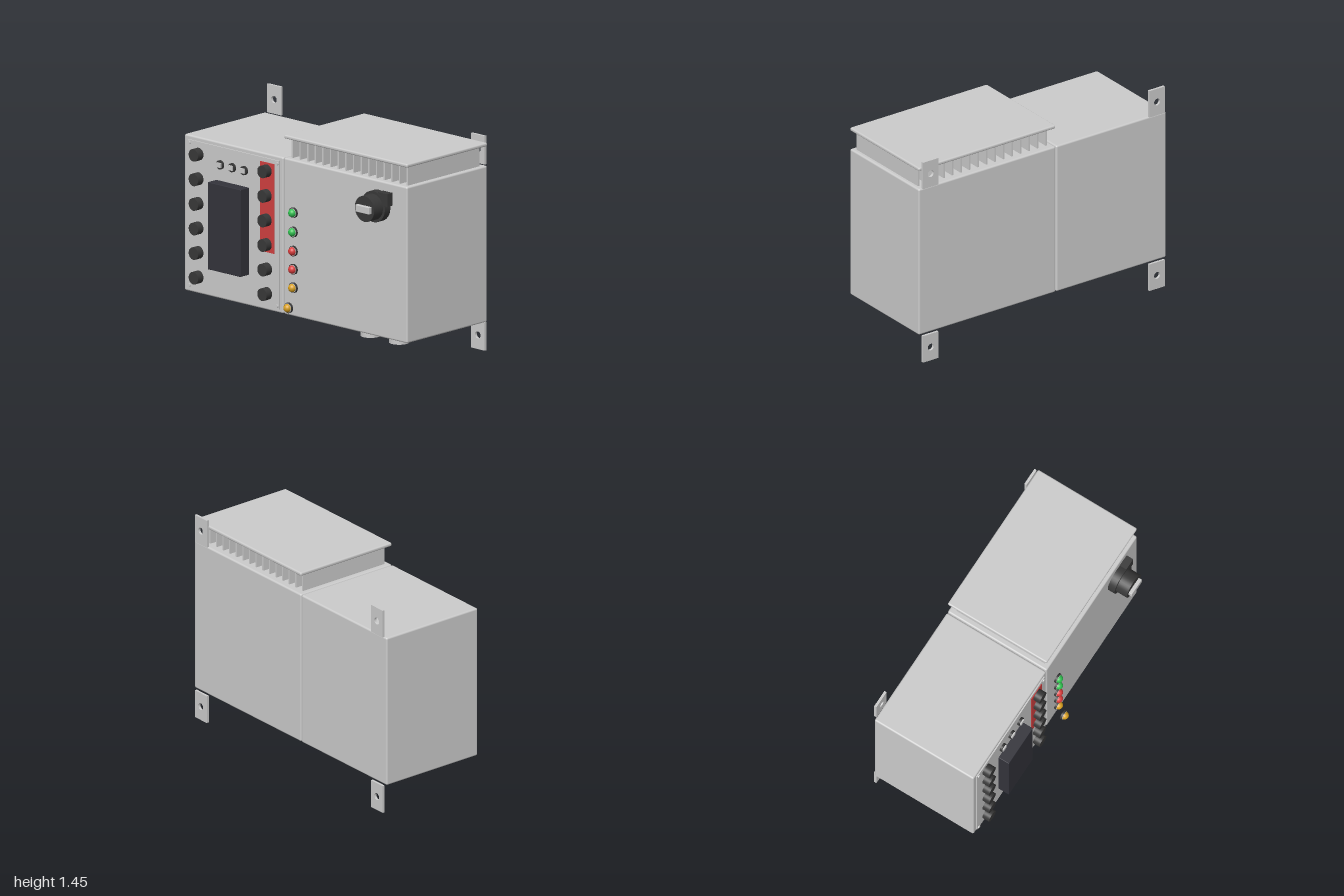
import * as THREE from 'three';
import { RoundedBoxGeometry } from 'three/addons/geometries/RoundedBoxGeometry.js';

const mat = (color) => new THREE.MeshStandardMaterial({ color });
const GREY = mat(0xcccccc), DARK = mat(0x383838), SCREEN = mat(0x33333b);
const RED = mat(0xd04040), GREEN = mat(0x30c050), LAMP_RED = mat(0xd83c3c), AMBER = mat(0xd8a020), WHITE = mat(0xeeeeee);

export function createModel() {
  const group = new THREE.Group();

  const add = (name, geometry, material) => {
    const mesh = new THREE.Mesh(geometry, material);
    mesh.name = name;
    group.add(mesh);
    return mesh;
  };
  // Box given by its limits, with an optional edge radius
  const box = (name, [x0, x1], [y0, y1], [z0, z1], material = GREY, radius = 0) => {
    const size = [x1 - x0, y1 - y0, z1 - z0];
    const g = radius ? new RoundedBoxGeometry(...size, 3, radius) : new THREE.BoxGeometry(...size);
    g.translate((x0 + x1) / 2, (y0 + y1) / 2, (z0 + z1) / 2);
    return add(name, g, material);
  };
  // Cylinder along z between two depths
  const disc = (name, x, y, z0, z1, r, material = DARK, rFront = r) => {
    const g = new THREE.CylinderGeometry(rFront, r, z1 - z0, 40);
    g.rotateX(Math.PI / 2).translate(x, y, (z0 + z1) / 2);
    return add(name, g, material);
  };

  // Two cabinets side by side
  const depth = [-0.455, 0.311];
  box('controlCabinet', [-1, -0.112], [0.2, 1.256], depth, GREY, 0.012);
  box('powerCabinet', [-0.107, 1], [0.2, 1.256], depth, GREY, 0.012);

  // Heat sink: fins under a cover plate
  for (let i = 0; i < 16; i++) {
    const x = -0.065 + i * 0.0688;
    box('heatSinkFin', [x - 0.006, x + 0.006], [1.25, 1.39], [-0.408, 0.275]);
  }
  box('heatSinkCover', [-0.107, 1], [1.386, 1.411], depth, GREY, 0.01);

  // Wall brackets with a bolt hole
  const tab = new THREE.Shape([[-0.062, -0.096], [0.062, -0.096], [0.062, 0.096], [-0.062, 0.096]]
    .map(([x, y]) => new THREE.Vector2(x, y)));
  tab.holes.push(new THREE.Path().absarc(0, 0, 0.024, 0, Math.PI * 2, true));
  const tabGeometry = new THREE.ExtrudeGeometry(tab, { depth: 0.017, bevelEnabled: false, curveSegments: 20 });
  for (const x of [-0.915, 0.915]) {
    for (const y of [0.097, 1.355]) add('wallBracket', tabGeometry, GREY).position.set(x, y, -0.47);
  }

  // Control panel plate with corner screws
  box('controlPanel', [-0.967, -0.14], [0.225, 1.228], [0.305, 0.32]);
  for (const x of [-0.948, -0.159]) {
    for (const y of [0.245, 1.208]) disc('panelScrew', x, y, 0.315, 0.327, 0.012, GREY);
  }
  box('redStrip', [-0.31, -0.183], [0.594, 1.2], [0.315, 0.324], RED);

  // Two columns of push knobs
  for (const x of [-0.862, -0.246]) {
    for (let i = 0; i < 6; i++) disc('knob', x, 1.146 - i * 0.166, 0.315, 0.372, 0.042);
  }

  // Display block
  box('display', [-0.707, -0.413], [0.41, 1.0], [0.315, 0.4], SCREEN, 0.004);

  // Small selector switches above the display
  for (const x of [-0.664, -0.557, -0.45]) {
    disc('switchBezel', x, 1.11, 0.315, 0.335, 0.03);
    box('switchCap', [x - 0.018, x + 0.018], [1.094, 1.126], [0.33, 0.345], WHITE);
  }

  // Column of indicator lamps; the lowest one stands further out
  const lamps = [[0.907, GREEN], [0.777, GREEN], [0.648, LAMP_RED], [0.525, LAMP_RED], [0.4, AMBER], [0.273, AMBER]];
  const dome = new THREE.SphereGeometry(0.028, 24, 12, 0, Math.PI * 2, 0, Math.PI / 2).rotateX(Math.PI / 2);
  lamps.forEach(([y, material], i) => {
    const z = i === 5 ? 0.37 : 0.325;
    disc('lampRing', -0.003, y, z, z + 0.014, 0.035, DARK);
    disc('lampCollar', -0.003, y, z + 0.01, z + 0.016, 0.031, GREY);
    add('lampDome', dome, material).position.set(-0.003, y, z + 0.015);
  });

  // Main rotary switch
  disc('rotaryBase', 0.745, 1.09, 0.305, 0.363, 0.105);
  box('rotaryBackTab', [0.785, 0.87], [1.11, 1.196], [0.305, 0.362], DARK);
  disc('rotaryKnob', 0.745, 1.09, 0.36, 0.446, 0.087);
  box('rotaryHandle', [0.683, 0.807], [1.066, 1.114], [0.44, 0.47], GREY, 0.004);

  // Cable glands beneath the power cabinet
  for (const x of [0.318, 0.573]) {
    add('glandCollar', new THREE.CylinderGeometry(0.083, 0.083, 0.06, 40), DARK).position.set(x, 0.177, -0.066);
    add('glandBody', new THREE.CylinderGeometry(0.067, 0.067, 0.1, 40), GREY).position.set(x, 0.11, -0.066);
  }
  return group;
}
